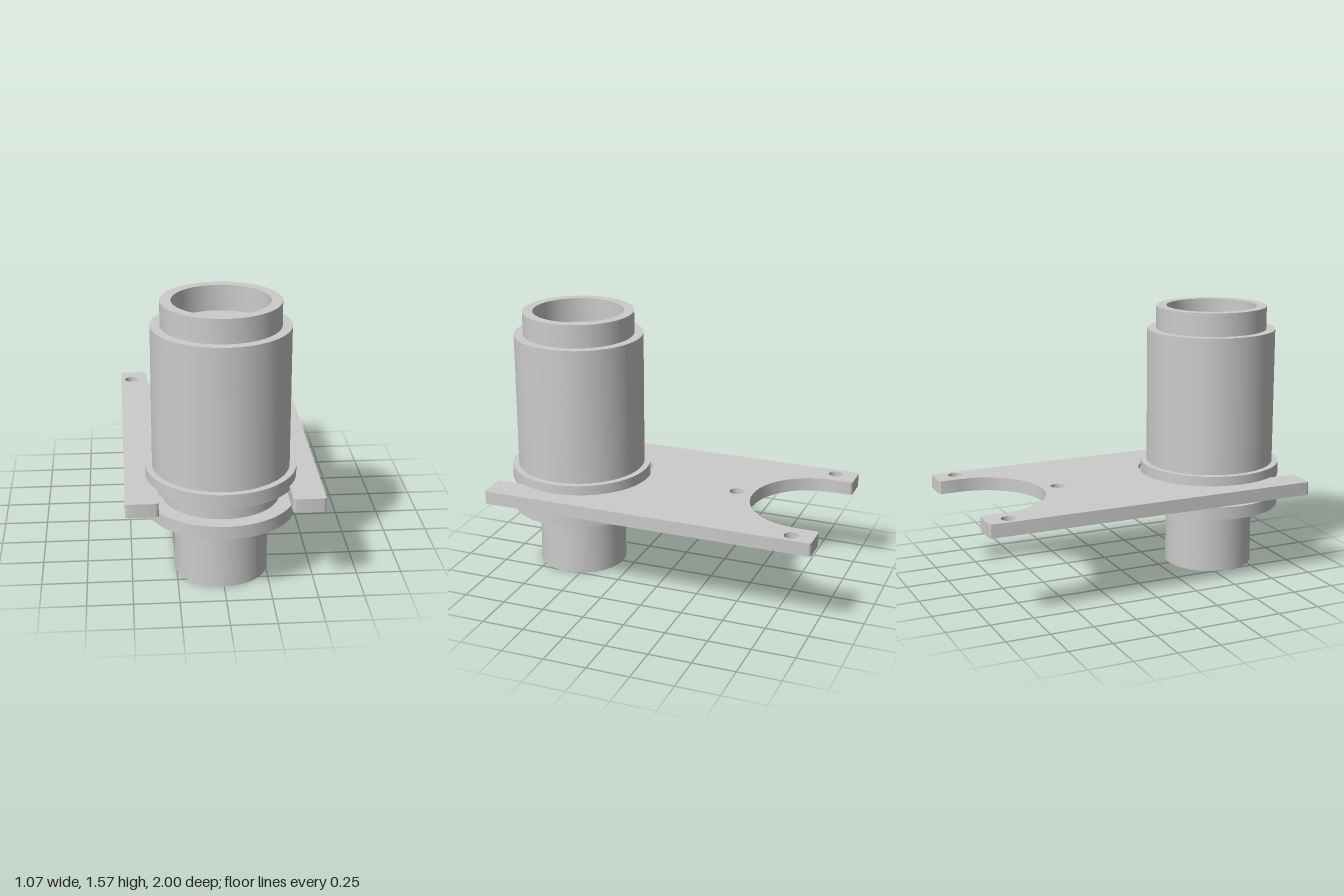
import * as THREE from 'three';
import { toCreasedNormals } from 'three/addons/utils/BufferGeometryUtils.js';

const AXIS_Z = 0.585; // axis of the turned cylinder
const material = new THREE.MeshStandardMaterial({ color: 0xcccccc });

function addPart(group, geometry, name) {
  const mesh = new THREE.Mesh(toCreasedNormals(geometry, Math.PI / 6), material);
  mesh.name = name;
  group.add(mesh);
  return mesh;
}

// Plate outline (shape y becomes model z): front slot of the given radius, round cut at the back
function plateShape(slotRadius, slotZ) {
  const W = 0.533, front = 0.965, back = -1, leg = 0.355, cut = 0.368, cutZ = -0.87, r = 0.02;
  const s = new THREE.Shape();
  const a = Math.acos(Math.min(1, leg / slotRadius));
  // rounded corner at (x, z), entered along (ix, iz) and left along (ox, oz)
  const corner = (x, z, ix, iz, ox, oz) => {
    s.lineTo(x - ix * r, z - iz * r);
    s.quadraticCurveTo(x, z, x + ox * r, z + oz * r);
  };
  s.moveTo(W, 0);
  corner(W, front, 0, 1, -1, 0);
  corner(leg, front, -1, 0, 0, -1);
  s.absarc(0, slotZ, slotRadius, a, Math.PI - a, true);
  corner(-leg, front, 0, 1, -1, 0);
  corner(-W, front, -1, 0, 0, -1);
  corner(-W, back, 0, -1, 1, 0);
  corner(-cut, back, 1, 0, 0, 1);
  s.absarc(0, cutZ, cut, Math.PI, 0, true);
  corner(cut, back, 0, -1, 1, 0);
  corner(W, back, 1, 0, 0, 1);
  s.closePath();

  for (const [x, z] of [[-0.468, -0.872], [0.468, -0.872], [0, -0.403]]) {
    s.holes.push(new THREE.Path().absarc(x, z, 0.041, 0, Math.PI * 2, true));
  }
  return s;
}

function plateLayer(group, name, bottom, top, slotRadius, slotZ) {
  const geometry = new THREE.ExtrudeGeometry(plateShape(slotRadius, slotZ), {
    depth: top - bottom, bevelEnabled: false, curveSegments: 40,
  });
  geometry.rotateX(Math.PI / 2);
  addPart(group, geometry, name).position.y = top;
}

export function createModel() {
  const model = new THREE.Group();
  model.name = 'cylinderOnForkedPlate';

  // Turned body: stem, two flanges with a groove between, barrel, collar and shallow bore
  const profile = [
    [0, 0], [0.26, 0], [0.26, 0.37], [0.415, 0.37], [0.415, 0.445], [0.325, 0.445],
    [0.325, 0.55], [0.415, 0.55], [0.415, 0.63], [0.378, 0.63], [0.378, 1.43],
    [0.325, 1.43], [0.325, 1.565], [0.265, 1.565], [0.265, 1.42], [0, 1.42],
  ].map(([r, y]) => new THREE.Vector2(r, y));
  addPart(model, new THREE.LatheGeometry(profile, 96), 'turnedCylinder').position.z = AXIS_Z;

  // Forked plate: slot around the neck below, wider recess for the flange above
  const plate = new THREE.Group();
  plate.name = 'forkedPlate';
  plateLayer(plate, 'plateBase', 0.497, 0.55, 0.355, 0.572);
  plateLayer(plate, 'plateRecessLayer', 0.55, 0.575, 0.415, 0.572);
  model.add(plate);

  return model;
}
